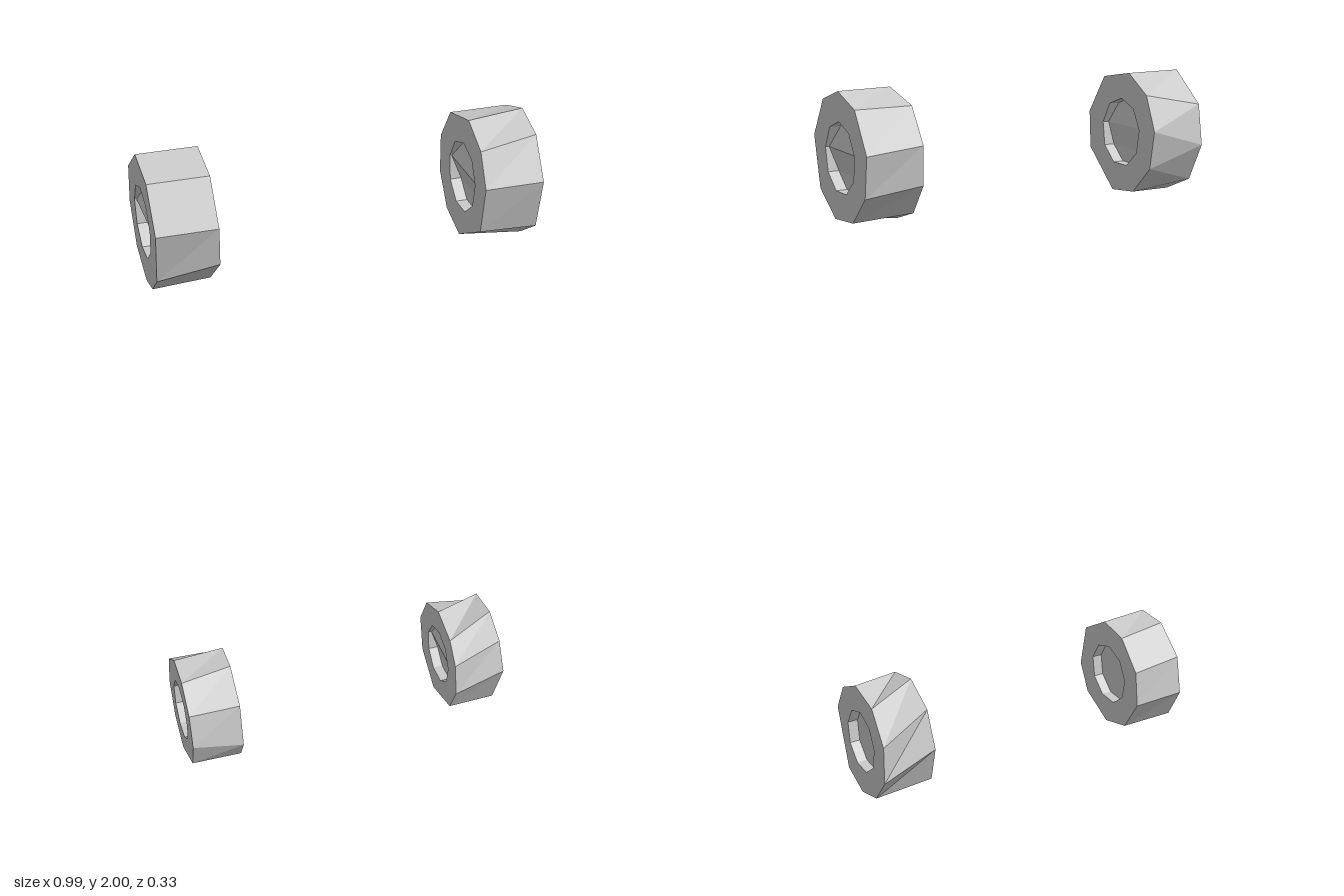
import * as THREE from 'three';

const SIDES = 9, RADIUS = 0.167, HUB = 0.092, HALF = 0.0775, RECESS = 0.03;

// Corner angles (degrees, from +z towards +y) of the -x and +x end of each tyre;
// bend folds the hub floors of the -x and +x ends.
const WHEELS = [
  { name: 'upperRightWheel', x: -0.4175, y: 1.833, bend: [0.025, 0.012],
    left: [13, 58, 102, 150, 188, 228, 268, 295, 326],
    right: [13, 58, 102, 137, 172, 208, 246, 282, 338] },
  { name: 'upperLeftWheel', x: 0.4175, y: 1.833, bend: [0.025, 0.02],
    left: [13, 46, 81, 127, 165, 200, 235, 270, 328],
    right: [13, 55, 90, 127, 170, 208, 246, 285, 324] },
  { name: 'lowerRightWheel', x: -0.4175, y: 0.167, bend: [0.015, 0],
    left: [0, 36, 72, 108, 150, 190, 230, 268, 326],
    right: [-13, 36, 80, 115, 155, 192, 234, 272, 315] },
  { name: 'lowerLeftWheel', x: 0.4175, y: 0.167, bend: [0.02, 0],
    left: [-7, 28, 56, 95, 135, 175, 215, 262, 316],
    right: [11, 45, 80, 120, 160, 200, 235, 270, 305] },
];

const HUB_ANGLES = Array.from({ length: SIDES }, (_, i) => 10 + (360 / SIDES) * i);

// Ring of corners around the x axis; offset(i) shifts single corners along x
function ring(angles, radius, x, offset = () => 0) {
  return angles.map((deg, i) => {
    const a = THREE.MathUtils.degToRad(deg);
    return [x + offset(i), radius * Math.sin(a), radius * Math.cos(a)];
  });
}

// Two opposite corners of the hub floor rise, giving the floor a fold
const fold = (amount) => (i) => (i === 4 || i === 0 ? amount : 0);

function wheelGeometry({ left, right, bend }) {
  const pos = [];
  const tri = (a, b, c) => pos.push(...a, ...b, ...c);

  // Hub floor, lip and tread as one chain of rings from -x to +x
  const rings = [
    ring(HUB_ANGLES, HUB, -HALF + RECESS, fold(-bend[0])),
    ring(HUB_ANGLES, HUB, -HALF),
    ring(left, RADIUS, -HALF),
    ring(right, RADIUS, HALF),
    ring(HUB_ANGLES, HUB, HALF),
    ring(HUB_ANGLES, HUB, HALF - RECESS, fold(bend[1])),
  ];
  for (let r = 0; r < rings.length - 1; r++) {
    const a = rings[r], b = rings[r + 1];
    for (let i = 0; i < SIDES; i++) {
      const j = (i + 1) % SIDES;
      tri(a[i], b[i], b[j]);
      tri(a[i], b[j], a[j]);
    }
  }

  // Hub floors closed with horizontal strips, from the top corner down
  const cap = (floor, flip) => {
    const at = (i) => floor[(i + 2 + SIDES) % SIDES];
    const face = (a, b, c) => (flip ? tri(a, c, b) : tri(a, b, c));
    face(at(0), at(1), at(-1));
    for (let k = 1; k < 4; k++) {
      face(at(k), at(k + 1), at(-k));
      face(at(k + 1), at(-k - 1), at(-k));
    }
  };
  cap(rings[0], false);
  cap(rings[5], true);

  const geometry = new THREE.BufferGeometry();
  geometry.setAttribute('position', new THREE.Float32BufferAttribute(pos, 3));
  geometry.computeVertexNormals();
  return geometry;
}

export function createModel() {
  const model = new THREE.Group();
  model.name = 'wheelSet';
  const material = new THREE.MeshStandardMaterial({ color: 0xcccccc, flatShading: true });
  for (const spec of WHEELS) {
    const wheel = new THREE.Mesh(wheelGeometry(spec), material);
    wheel.name = spec.name;
    wheel.position.set(spec.x, spec.y, 0);
    model.add(wheel);
  }
  return model;
}
